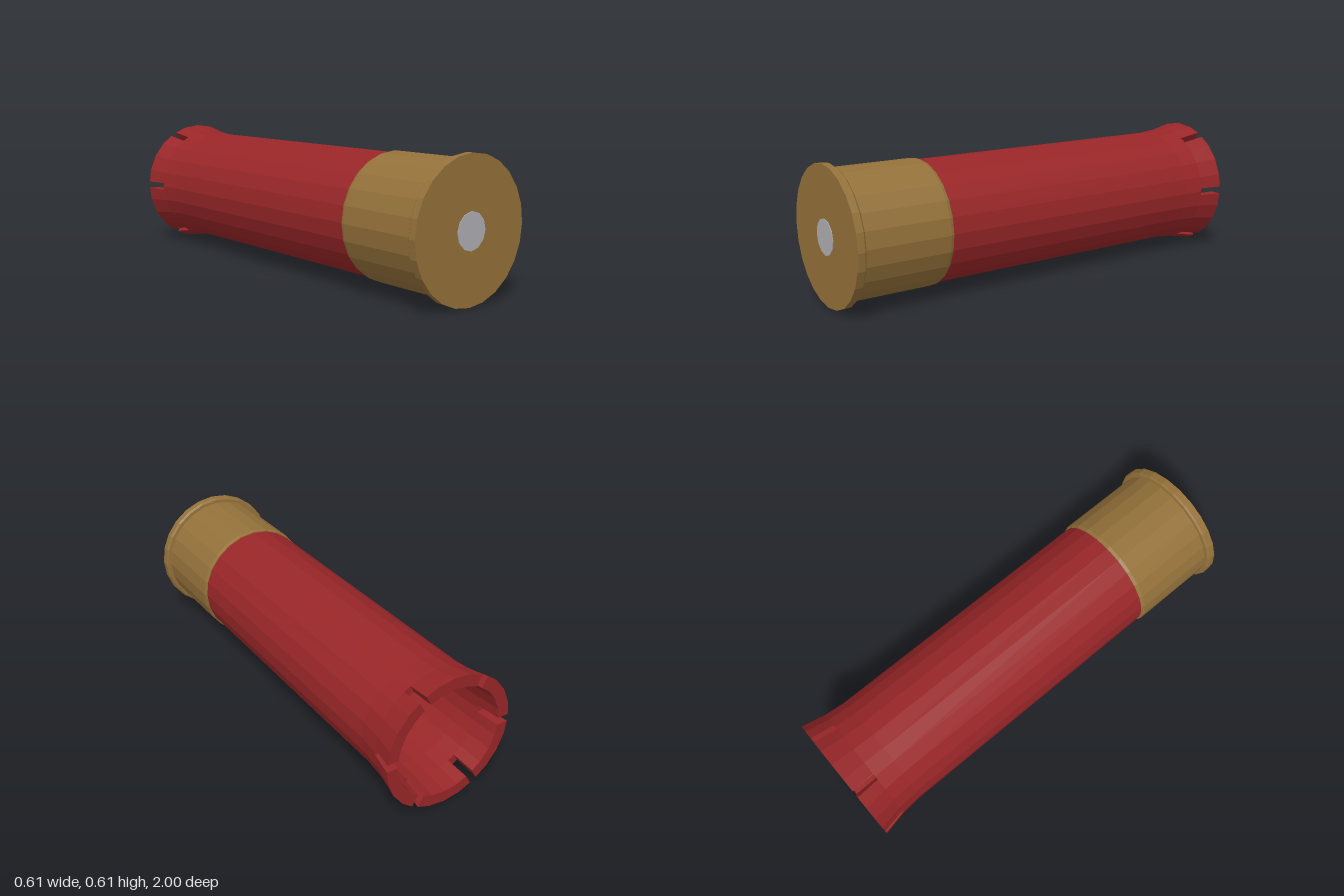
import * as THREE from 'three';

const SIDES = 24;
const CENTER_Y = 0.305;
const STEP = Math.PI * 2 / SIDES;

// Faceted normals
function flat(geometry) {
  const g = geometry.index ? geometry.toNonIndexed() : geometry;
  g.computeVertexNormals();
  return g;
}

// Lathe around z from [radius, z] points, running front to back on the outside
function turned(points, sides) {
  const g = new THREE.LatheGeometry(points.map(([r, z]) => new THREE.Vector2(r, -z)), sides);
  g.rotateX(-Math.PI / 2);
  return flat(g);
}

// One flared flap of the mouth between two slots, swept through cross-sections
function flapGeometry(start, halfSlot) {
  const corners = [[0.282, -0.89], [0.305, -1], [0.252, -1], [0.242, -0.89]];
  const sections = [];
  for (let i = 0; i <= 4; i++) {
    sections.push(corners.map(([r, z]) => {
      let angle = i * STEP, radius = r;
      if (i === 0 || i === 4) {
        const inset = Math.asin(halfSlot / r);
        angle += i === 0 ? inset : -inset;
        radius = r * Math.cos(STEP / 2) / Math.cos(STEP / 2 - inset);
      }
      return [radius * Math.cos(start + angle), radius * Math.sin(start + angle), z];
    }));
  }
  const out = [];
  const quad = (a, b, c, d) => out.push(...a, ...b, ...c, ...a, ...c, ...d);
  for (let i = 0; i < 4; i++) {
    const s = sections[i], t = sections[i + 1];
    for (let k = 0; k < 3; k++) quad(s[k], s[k + 1], t[k + 1], t[k]);
  }
  const first = sections[0], last = sections[4];
  quad(first[0], first[3], first[2], first[1]);
  quad(last[0], last[1], last[2], last[3]);
  const g = new THREE.BufferGeometry();
  g.setAttribute('position', new THREE.Float32BufferAttribute(out, 3));
  return flat(g);
}

export function createModel() {
  const brass = new THREE.MeshStandardMaterial({ color: 0x94713a });
  brass.name = 'brass';
  const red = new THREE.MeshStandardMaterial({ color: 0x992628 });
  red.name = 'red plastic';
  const steel = new THREE.MeshStandardMaterial({ color: 0xafaeb2 });
  steel.name = 'steel';

  const model = new THREE.Group();
  model.name = 'spentShell';
  const add = (name, geometry, material, parent = model) => {
    const mesh = new THREE.Mesh(geometry, material);
    mesh.name = name;
    parent.add(mesh);
    return mesh;
  };

  // Brass head with its rim and rolled front lip
  add('brassHead', turned([
    [0, 0.997], [0.305, 0.997], [0.305, 0.965], [0.298, 0.957],
    [0.282, 0.955], [0.282, 0.565], [0.277, 0.55], [0.27, 0.55]
  ], SIDES), brass);

  // Primer disc in the base
  add('primer', turned([[0, 1], [0.079, 1], [0.079, 0.996]], 12), steel);

  // Hollow hull: outer wall, slot floor, inner wall and closed bottom
  add('hull', turned([
    [0.273, 0.56], [0.273, -0.79], [0.282, -0.89],
    [0.242, -0.89], [0.236, -0.79], [0.236, 0.9], [0, 0.9]
  ], SIDES), red);

  // Six flared flaps around the open mouth
  const mouth = new THREE.Group();
  mouth.name = 'mouthFlaps';
  model.add(mouth);
  for (let i = 0; i < 6; i++) {
    add('flap' + (i + 1), flapGeometry(i * Math.PI / 3, 0.017), red, mouth);
  }

  model.children.forEach((part) => { part.position.y = CENTER_Y; });
  return model;
}
